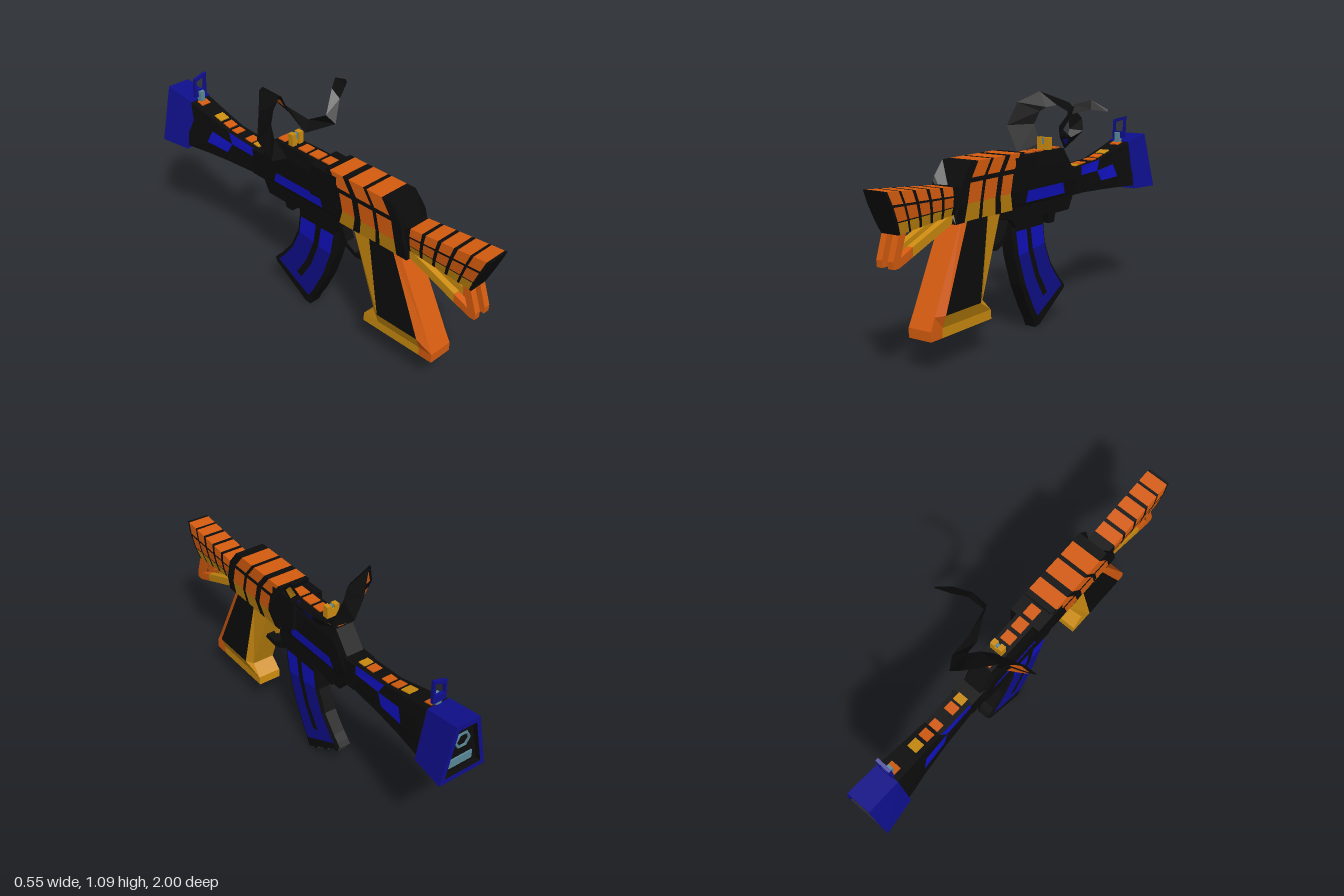
import * as THREE from 'three';

const mat = (name, color) => Object.assign(new THREE.MeshStandardMaterial({ color }), { name });

export function createModel() {
  const black = mat('black', 0x0c0c0c), orange = mat('orange', 0xd65c0f), yellow = mat('yellow', 0xcc8c10);
  const blue = mat('blue', 0x0f0f8c), bright = mat('bright blue', 0x1111c0), teal = mat('teal', 0x5a8a98);
  const tailBlack = mat('tail black', 0x0c0c0c);
  tailBlack.side = THREE.DoubleSide;

  const model = new THREE.Group();
  const body = new THREE.Group();
  body.name = 'body';
  body.position.x = -0.06;
  model.add(body);

  const add = (name, geo, material, parent = body) => {
    const m = new THREE.Mesh(geo, material);
    m.name = name;
    parent.add(m);
    return m;
  };

  // flat-faced mesh from quads and triangles, grouped by colour
  const faceted = (name, tris, parent = body, closed = true) => {
    let volume = 0;
    const [a, b, c] = [0, 0, 0].map(() => new THREE.Vector3());
    tris.forEach(t => { volume += a.set(...t.p[0]).dot(b.set(...t.p[1]).cross(c.set(...t.p[2]))); });
    const mats = [...new Set(tris.map(t => t.m))], pos = [], geo = new THREE.BufferGeometry();
    mats.forEach((m, k) => {
      const start = pos.length / 3;
      tris.filter(t => t.m === m).forEach(t => {
        const q = closed && volume < 0 ? [t.p[0], t.p[2], t.p[1]] : t.p;
        pos.push(...q.flat());
      });
      geo.addGroup(start, pos.length / 3 - start, k);
    });
    geo.setAttribute('position', new THREE.Float32BufferAttribute(pos, 3));
    geo.computeVertexNormals();
    return add(name, geo, mats, parent);
  };

  // skin over a row of rings; paint(i, j) colours ring span i, side j
  const loft = (name, rings, paint, capA = black, capB = black) => {
    const tris = [], n = rings[0].length;
    for (let i = 0; i < rings.length - 1; i++) for (let j = 0; j < n; j++) {
      const k = (j + 1) % n, m = paint(i, j);
      const [a, b, c, d] = [rings[i][j], rings[i][k], rings[i + 1][k], rings[i + 1][j]];
      tris.push({ p: [a, b, c], m }, { p: [a, c, d], m });
    }
    const last = rings[rings.length - 1];
    for (let j = 1; j < n - 1; j++) {
      tris.push({ p: [rings[0][0], rings[0][j + 1], rings[0][j]], m: capA });
      tris.push({ p: [last[0], last[j], last[j + 1]], m: capB });
    }
    return faceted(name, tris);
  };

  // mirrored ring from half points [half width, y, z]
  const ring = half => [...half, ...half.map(([x, y, z]) => [-x, y, z]).reverse()];
  // side index on either half of a mirrored ring with n half points
  const fold = (j, n) => (j < n ? j : 2 * n - 2 - j);

  // side outline [z, y] extruded across x
  const slab = (name, pts, width, material, x = 0) => {
    const geo = new THREE.ExtrudeGeometry(new THREE.Shape(pts.map(([z, y]) => new THREE.Vector2(-z, y))),
      { depth: width, bevelEnabled: false });
    geo.rotateY(Math.PI / 2).translate(x - width / 2, 0, 0);
    return add(name, geo, material);
  };
  const box = (name, w, h, d, x, y, z, material) => {
    const m = add(name, new THREE.BoxGeometry(w, h, d), material);
    m.position.set(x, y, z);
    return m;
  };

  // rear receiver with chevron stripes
  const tops = [0.51, 0.46, 0.375, 0.355, 0.27, 0.235, 0.16, 0.13];
  loft('stripedReceiver', tops.map(z => ring([
    [0.065, 0.61, z + 0.09 - 0.12 * (0.51 - z)], [0.08, 0.69, z + 0.08], [0.08, 0.775, z + 0.06],
    [0.08, 0.795, z + 0.05], [0.076, 0.86, z]])), (i, j) => {
    const side = fold(j, 5);
    return i % 2 === 0 || j === 9 || side === 2 ? black : side === 0 ? yellow : orange;
  });
  box('receiverCollar', 0.16, 0.15, 0.16, 0, 0.765, 0.12, black);

  // front receiver with a blue lower stripe
  loft('frontReceiver', [[0.2, 0.84], [0.09, 0.84], [-0.23, 0.84], [-0.31, 0.74]].map(([z, t]) => ring([
    [0.05, 0.61, z], [0.054, 0.625, z], [0.06, 0.68, z * 0.9], [0.06, t - 0.06, z], [0.045, t, z]])),
    (i, j) => (i === 1 && fold(j, 5) === 1 && j !== 9 ? bright : black));
  slab('lowerReceiver', [[0.19, 0.63], [0.19, 0.56], [0.16, 0.52], [-0.09, 0.55], [-0.12, 0.54],
    [-0.27, 0.54], [-0.31, 0.61], [-0.31, 0.63]], 0.1, black);
  slab('catch', [[-0.12, 0.55], [-0.14, 0.49], [-0.18, 0.49], [-0.2, 0.55]], 0.05, black);
  box('barrelCollar', 0.11, 0.13, 0.09, 0, 0.67, -0.33, black);

  // flared barrel and muzzle
  const flare = [[-0.3, 0.605, 0.735, 0.05, 0.05], [-0.37, 0.605, 0.735, 0.048, 0.05],
    [-0.56, 0.598, 0.748, 0.045, 0.06], [-0.7, 0.592, 0.78, 0.05, 0.073], [-0.83, 0.585, 0.81, 0.056, 0.09]];
  loft('barrel', flare.map(([z, b, t, ht, hb]) => ring([
    [hb, b, z], [hb * 0.85 + ht * 0.15, b * 0.7 + t * 0.3, z], [hb * 0.4 + ht * 0.6, b * 0.35 + t * 0.65, z + 0.03], [ht, t, z]])),
    (i, j) => {
      const s = fold(j, 4);
      return (i === 1 && s === 2) || (i === 2 && s === 1 && j !== 7) ? bright : black;
    });
  const muzzle = [[-0.83, 0.57, 0.815, 0.058, 0.1], [-1, 0.565, 0.84, 0.06, 0.12],
    [-1, 0.59, 0.815, 0.045, 0.095], [-0.975, 0.59, 0.815, 0.045, 0.095]];
  loft('muzzle', muzzle.map(([z, b, t, ht, hb]) => ring([[hb, b, z], [ht, t, z]])),
    i => (i < 2 ? blue : black), blue, black);
  const hex = add('muzzleHexagon', new THREE.TorusGeometry(0.036, 0.007, 4, 6), teal);
  hex.position.set(0, 0.735, -0.978);
  box('muzzleSlot', 0.12, 0.04, 0.008, 0, 0.632, -0.978, teal);

  // front and rear sights
  const frame = new THREE.Shape([[-0.034, 0.83], [-0.03, 0.925], [0.04, 0.945], [0.036, 0.83]].map(p => new THREE.Vector2(...p)));
  frame.holes.push(new THREE.Path([[-0.022, 0.865], [0.026, 0.865], [0.03, 0.928], [-0.02, 0.912]].map(p => new THREE.Vector2(...p))));
  add('frontSight', new THREE.ExtrudeGeometry(frame, { depth: 0.015, bevelEnabled: false }), blue).position.z = -0.837;
  box('frontSightBase', 0.025, 0.05, 0.03, 0, 0.835, -0.82, teal);
  box('rearSight', 0.064, 0.045, 0.02, 0, 0.86, -0.14, yellow);
  for (const s of [-1, 1]) box('rearSightPost', 0.024, 0.06, 0.03, s * 0.02, 0.868, -0.135, yellow);
  box('rearSightNotch', 0.014, 0.03, 0.016, 0, 0.88, -0.135, teal);

  // painted squares along the top
  for (const [z, len] of [[0.09, 0.06], [0.01, 0.06], [-0.065, 0.05], [-0.2, 0.045]])
    box('topSquare', 0.055, 0.008, len, 0, 0.842, z, orange);
  for (const [z, len, m] of [[-0.385, 0.04, yellow], [-0.44, 0.045, orange], [-0.54, 0.04, orange],
    [-0.6, 0.045, orange], [-0.665, 0.05, yellow], [-0.8, 0.04, orange]]) {
    const k = z > -0.56 ? 1 : z > -0.7 ? 2 : 3, [p, q] = [flare[k], flare[k + 1]];
    const slope = (q[2] - p[2]) / (q[0] - p[0]);
    box('barrelSquare', 0.05, 0.008, len, 0, p[2] + (z - p[0]) * slope + 0.001, z, m).rotation.x = -Math.atan(slope);
  }

  // banded shoulder stock
  const cuts = [0, 0.03, 0.17, 0.2, 0.34, 0.38, 0.52, 0.56, 0.7, 0.74, 0.88, 1];
  loft('stock', cuts.map(s => {
    const at = (f, h) => [h, (0.62 + 0.03 * s) * (1 - f) + (0.8 - 0.04 * s) * f, (0.92 - 0.36 * s) * (1 - f) + (1 - 0.45 * s) * f];
    return ring([at(0, 0.045), at(0.28, 0.055), at(0.31, 0.056), at(0.64, 0.06), at(0.7, 0.06), at(1, 0.056)]);
  }), (i, j) => {
    const s = fold(j, 6);
    return i % 2 === 0 || j === 11 || s === 1 || s === 3 ? black : s === 0 ? yellow : orange;
  });
  for (const x of [-0.03, 0.03]) {
    slab('braceRear', [[0.915, 0.63], [0.952, 0.52], [0.95, 0.49], [0.92, 0.49], [0.84, 0.52], [0.84, 0.56], [0.91, 0.53], [0.875, 0.63]], 0.03, orange, x);
    slab('braceArm', [[0.84, 0.52], [0.84, 0.56], [0.58, 0.66], [0.58, 0.62]], 0.03, yellow, x);
  }

  // grip with orange back, black sides and yellow front and foot
  const grip = [[0.63, 0.55, 0.52, 0.385, 0.28, 0.055, 0.065], [0.25, 0.735, 0.69, 0.46, 0.42, 0.058, 0.08],
    [0.195, 0.762, 0.69, 0.45, 0.365, 0.06, 0.06], [0.152, 0.762, 0.69, 0.45, 0.362, 0.06, 0.06]];
  loft('grip', grip.map(([y, r, a, b, f, h, w]) => ring([[h, y, r], [w, y, a], [w, y, b], [h, y, f]])),
    (i, j) => (j === 7 || fold(j, 4) === 0 ? orange : i === 0 && fold(j, 4) === 1 && j !== 3 ? black : yellow), black, yellow);
  slab('triggerGuard', [[0.38, 0.47], [0.36, 0.445], [0.27, 0.435], [0.2, 0.465], [0.16, 0.53], [0.16, 0.57],
    [0.185, 0.56], [0.215, 0.49], [0.27, 0.46], [0.35, 0.47]], 0.05, black);
  slab('trigger', [[0.29, 0.61], [0.3, 0.51], [0.28, 0.5], [0.25, 0.61]], 0.025, yellow);

  // curved magazine with two blue bands
  const rear = [[0.17, 0.57], [0.17, 0.5], [0.148, 0.38], [0.1, 0.24], [0.035, 0.11], [0, 0.055], [-0.02, 0.01]];
  const fore = [[-0.08, 0.57], [-0.083, 0.5], [-0.095, 0.41], [-0.145, 0.3], [-0.215, 0.215], [-0.245, 0.185], [-0.263, 0.165]];
  loft('magazine', rear.map((r, i) => ring([0, 0.09, 0.41, 0.54, 0.93, 1].map((f, k) =>
    [k % 5 ? 0.04 : 0.03, r[1] + (fore[i][1] - r[1]) * f, r[0] + (fore[i][0] - r[0]) * f]))),
    (i, j) => {
      const s = fold(j, 6);
      if (i === 0 || i === 5 || j === 11 || j === 5 || s === 0 || s === 4 || (s === 2 && i < 4)) return black;
      return i === 1 ? bright : blue;
    });
  for (const [z, y] of [[-0.065, 0.034], [-0.145, 0.086], [-0.225, 0.138]])
    box('magazineStud', 0.05, 0.03, 0.03, 0, y, z, black).rotation.x = 0.57;

  // curling tail: a ribbon between two edges, with painted patches on its inner side
  const edgeA = [[-0.12, 0.79, -0.13], [-0.21, 0.81, -0.13], [-0.28, 0.94, -0.14], [-0.24, 1.05, -0.17], [-0.165, 1.1, -0.25],
    [-0.06, 1.045, -0.35], [0, 0.97, -0.37], [0.05, 0.92, -0.3], [0.06, 0.9, -0.18], [0.065, 0.96, -0.07],
    [0.13, 1.06, -0.1], [0.19, 1.08, -0.14], [0.27, 1.04, -0.155]];
  const edgeB = [[-0.1, 0.84, -0.2], [-0.13, 0.86, -0.2], [-0.155, 0.95, -0.19], [-0.13, 1.01, -0.2], [-0.1, 1.03, -0.21],
    [-0.06, 1.04, -0.24], [-0.02, 1.01, -0.27], [0.005, 0.93, -0.25], [0.03, 0.845, -0.17], [0.09, 0.92, -0.035],
    [0.14, 1.02, -0.06], [0.215, 1.04, -0.1], [0.273, 1.03, -0.145]];
  const patch = [null, orange, orange, orange, orange, orange, orange, yellow, blue, yellow, yellow, yellow];
  const V = p => new THREE.Vector3(...p), ribbon = [], patches = [];
  for (let i = 0; i < edgeA.length - 1; i++) {
    const [a, b, c, d] = [V(edgeA[i]), V(edgeB[i]), V(edgeB[i + 1]), V(edgeA[i + 1])];
    const quad = (list, q, m) => {
      const [p0, p1, p2, p3] = q.map(v => v.toArray());
      list.push({ p: [p0, p1, p2], m }, { p: [p0, p2, p3], m });
    };
    quad(ribbon, [a, b, c, d], tailBlack);
    if (!patch[i]) continue;
    const out = b.clone().sub(a).cross(d.clone().sub(a)).normalize().multiplyScalar(-0.005);
    const at = (u, v) => a.clone().lerp(b, u).lerp(d.clone().lerp(c, u), v).add(out);
    quad(patches, [at(0.2, 0.15), at(0.2, 0.85), at(0.8, 0.85), at(0.8, 0.15)], patch[i]);
  }
  faceted('tail', ribbon, model, false);
  faceted('tailPatches', patches, model, false);

  return model;
}
